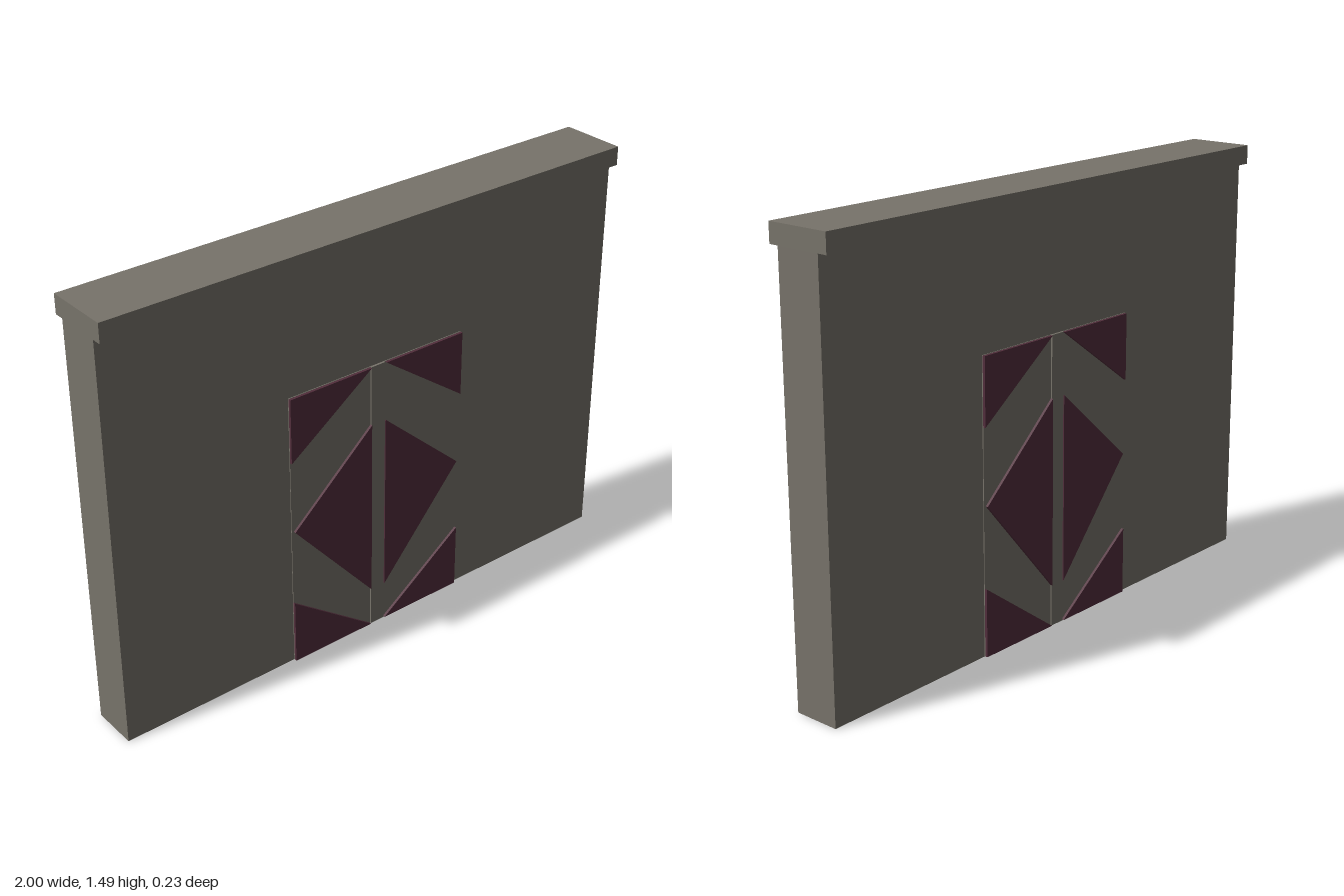
import * as THREE from 'three';

export function createModel() {
  const model = new THREE.Group();
  model.name = 'wallWithDoor';

  const stone = new THREE.MeshStandardMaterial({ color: 0x77736a, side: THREE.DoubleSide });
  stone.name = 'stone grey';
  const plum = new THREE.MeshStandardMaterial({ color: 0x522e3c });
  plum.name = 'plum';

  const add = (parent, name, geometry, material, y = 0, z = 0) => {
    const mesh = new THREE.Mesh(geometry, material);
    mesh.name = name;
    mesh.position.set(0, y, z);
    parent.add(mesh);
    return mesh;
  };

  // Hollow wall, open underneath: drop the bottom face of a box
  const wallGeometry = new THREE.BoxGeometry(2, 1.42, 0.162);
  const index = Array.from(wallGeometry.index.array);
  index.splice(18, 6);
  wallGeometry.setIndex(index);
  wallGeometry.clearGroups();
  add(model, 'wall', wallGeometry, stone, 0.71);

  // Coping along the top
  add(model, 'coping', new THREE.BoxGeometry(2, 0.065, 0.23), stone, 1.4525);

  // Door slab through the wall, with a centre strip on both sides
  add(model, 'doorSlab', new THREE.BoxGeometry(0.7, 1, 0.168), stone, 0.5);
  add(model, 'centreStrip', new THREE.BoxGeometry(0.056, 1, 0.178), stone, 0.5);

  // Raised triangular panels, mirrored left and right
  const triangles = {
    upperPanel: [[0.03, 0.999], [0.35, 0.999], [0.35, 0.77]],
    middlePanel: [[0.028, 0.79], [0.342, 0.51], [0.028, 0.145]],
    lowerPanel: [[0.03, 0.001], [0.35, 0.001], [0.35, 0.235]],
  };
  const addPanels = (name, turn) => {
    const panels = new THREE.Group();
    panels.name = name;
    panels.rotation.y = turn;
    for (const [part, points] of Object.entries(triangles)) {
      for (const side of [-1, 1]) {
        const shape = new THREE.Shape(points.map(([x, y]) => new THREE.Vector2(side * x, y)));
        const plate = new THREE.ExtrudeGeometry(shape, { depth: 0.009, bevelEnabled: false });
        add(panels, part + (side > 0 ? 'Left' : 'Right'), plate, plum, 0, 0.084);
      }
    }
    model.add(panels);
  };
  addPanels('frontPanels', 0);
  addPanels('backPanels', Math.PI);

  return model;
}
